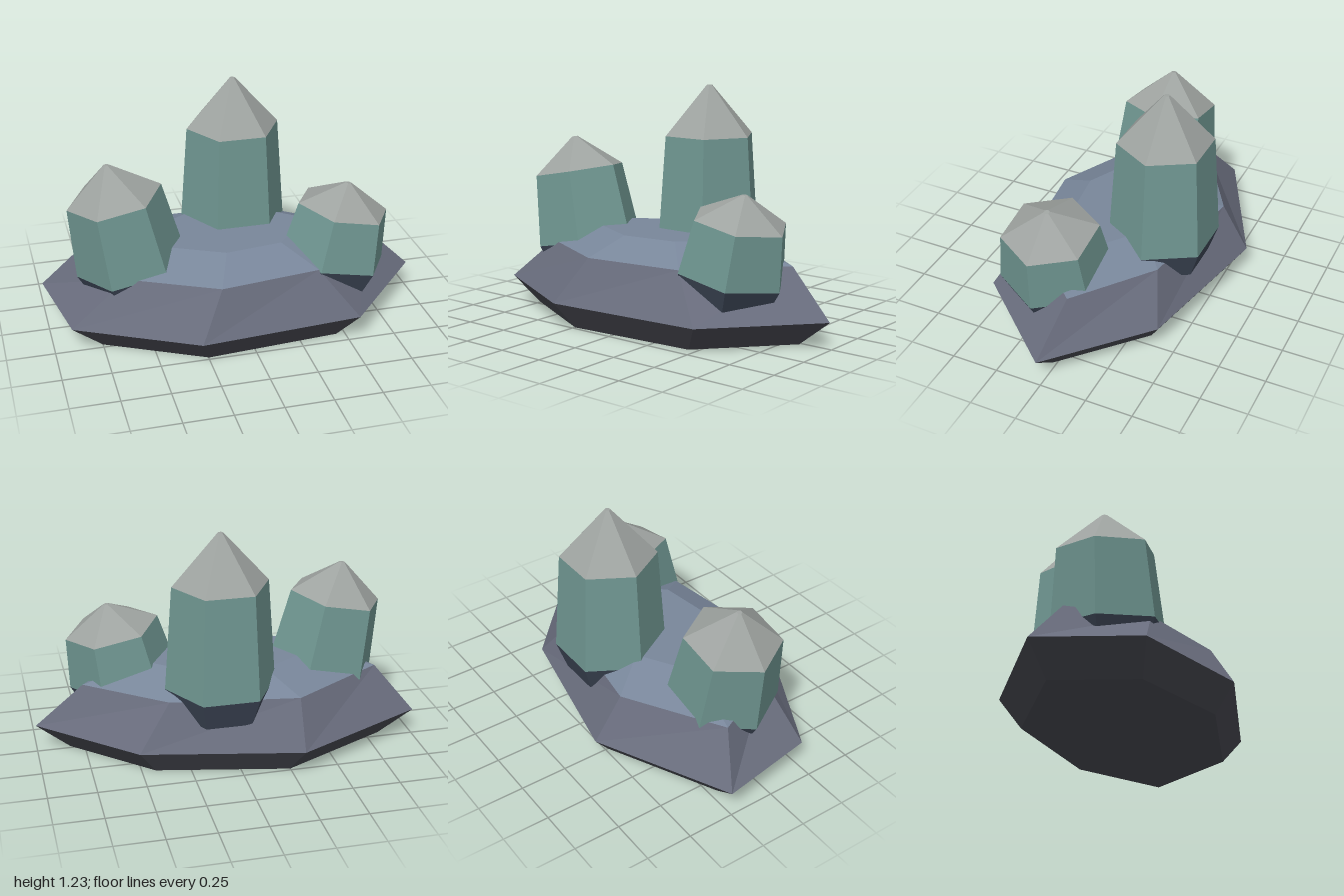
import * as THREE from 'three';

const material = (color) => new THREE.MeshStandardMaterial({ color, flatShading: true });
const rockTop = material(0x78869a), rockSlope = material(0x686c7c), rockUnder = material(0x46474f);
const body = material(0x6f9691), tip = material(0x9ea3a0), foot = material(0x3c4555);

// Outlines of the rock as [x, z], seven corners each
const rim = [[-1, -0.25], [-0.3, -0.59], [0.52, -0.42], [1, 0.02], [0.55, 0.52], [-0.3, 0.585], [-0.91, 0.27]];
const ledge = [[-0.81, -0.14], [-0.31, -0.44], [0.35, -0.34], [0.75, -0.03], [0.36, 0.39], [-0.17, 0.46], [-0.62, 0.24]];
const ring = (outline, y, s = 1) => outline.map(([x, z]) => new THREE.Vector3(x * s, y, z * s));

function facets(name, points, mat) {
  const geometry = new THREE.BufferGeometry().setFromPoints(points);
  geometry.computeVertexNormals();
  const mesh = new THREE.Mesh(geometry, mat);
  mesh.name = name;
  return mesh;
}

// Band of faces between a lower and an upper ring
function band(lower, upper) {
  return lower.flatMap((a, i) => {
    const j = (i + 1) % lower.length;
    return [lower[j], a, upper[i], lower[j], upper[i], upper[j]];
  });
}

// Flat cap, facing up or down
function cap(loop, up) {
  const c = new THREE.Vector3(0, loop[0].y, 0);
  return loop.flatMap((a, i) => {
    const b = loop[(i + 1) % loop.length];
    return up ? [c, b, a] : [c, a, b];
  });
}

function makeRock() {
  const rock = new THREE.Group();
  rock.name = 'rock';
  const floor = ring(rim, 0, 0.825), edge = ring(rim, 0.14), shelf = ring(ledge, 0.375), crown = ring(ledge, 0.47, 0.57);
  rock.add(
    facets('rockUnderside', [...cap(floor, false), ...band(floor, edge)], rockUnder),
    facets('rockSlope', band(edge, shelf), rockSlope),
    facets('rockTop', [...band(shelf, crown), ...cap(crown, true)], rockTop),
  );
  return rock;
}

// Six-sided crystal; its origin is the widest section, where foot and body meet
function makeCrystal(name, position, lean, bodyHeight, tipHeight) {
  const crystal = new THREE.Group();
  crystal.name = name;
  const section = (part, rTop, rBottom, height, y, mat) => {
    const geometry = new THREE.CylinderGeometry(rTop, rBottom, height, 6, 1, false, Math.PI / 6);
    const mesh = new THREE.Mesh(geometry, mat);
    mesh.name = part;
    mesh.position.y = y + height / 2;
    crystal.add(mesh);
  };
  section('crystalFoot', 0.29, 0.235, 0.15, -0.15, foot);
  section('crystalBody', 0.25, 0.29, bodyHeight, 0, body);
  section('crystalTip', 0.015, 0.25, tipHeight, bodyHeight, tip);
  crystal.position.set(...position);
  crystal.rotation.z = lean;
  return crystal;
}

export function createModel() {
  const model = new THREE.Group();
  model.name = 'crystalCluster';
  model.add(
    makeRock(),
    makeCrystal('tallCrystal', [0.065, 0.41, -0.25], 0, 0.55, 0.265),
    makeCrystal('rightCrystal', [-0.555, 0.36, 0.02], 0.19, 0.385, 0.185),
    makeCrystal('leftCrystal', [0.51, 0.335, 0.155], -0.19, 0.275, 0.137),
  );
  return model;
}
